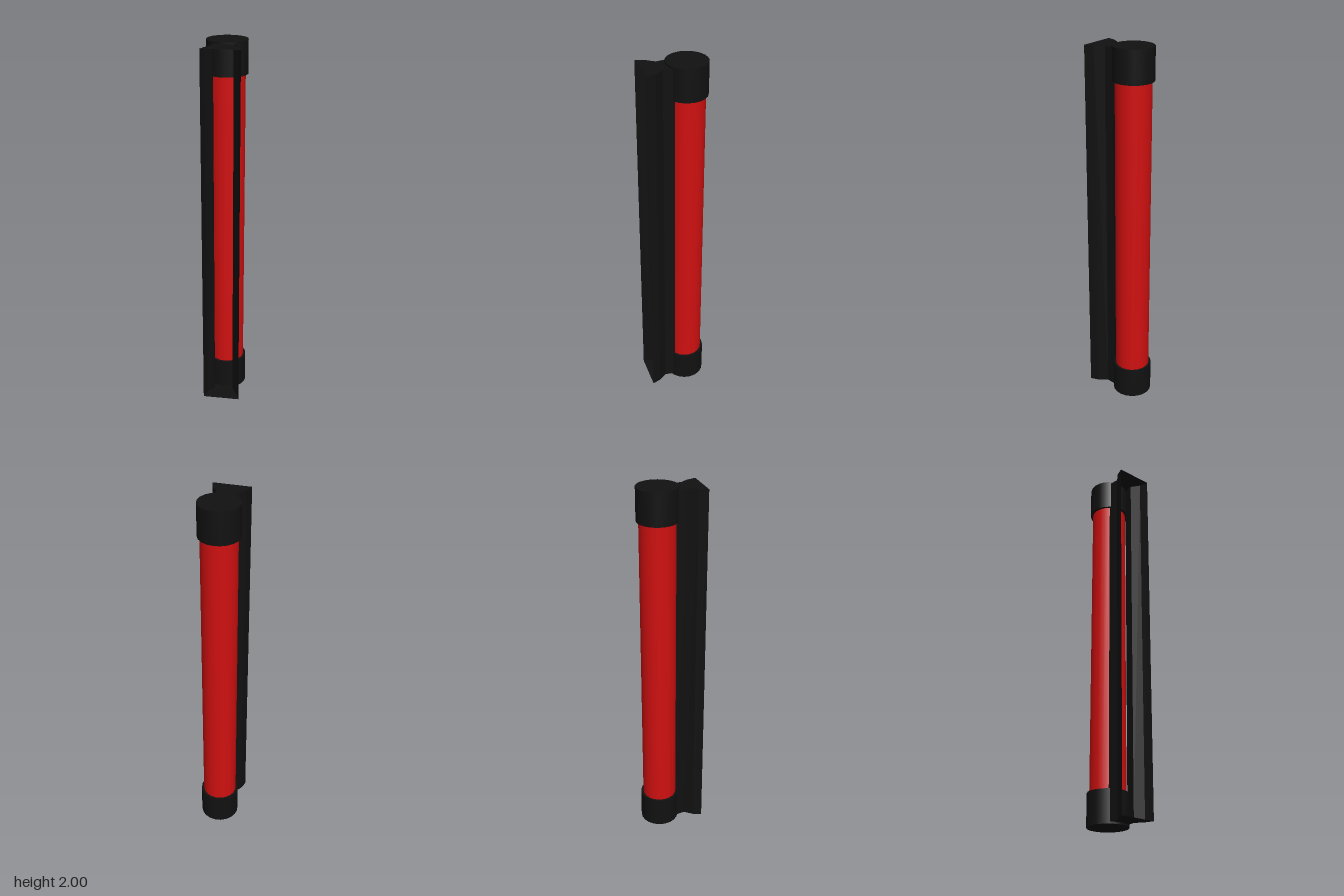
import * as THREE from 'three';

export function createModel() {
  const model = new THREE.Group();
  const black = new THREE.MeshStandardMaterial({ color: 0x111111 });
  const blackThin = new THREE.MeshStandardMaterial({ color: 0x111111, side: THREE.DoubleSide });
  const red = new THREE.MeshStandardMaterial({ color: 0xd01010 });

  const add = (parent, name, geometry, material, x = 0, y = 0, z = 0) => {
    const mesh = new THREE.Mesh(geometry, material);
    mesh.name = name;
    mesh.position.set(x, y, z);
    parent.add(mesh);
    return mesh;
  };

  // Round tube with a wider collar at each end
  const axisZ = -0.062, sides = 20;
  add(model, 'tube', new THREE.CylinderGeometry(0.094, 0.094, 1.7, sides), red, 0, 1, axisZ);
  const capGeometry = new THREE.CylinderGeometry(0.107, 0.107, 0.173, sides);
  add(model, 'bottomCap', capGeometry, black, 0, 0.0865, axisZ);
  add(model, 'topCap', capGeometry, black, 0, 1.9135, axisZ);

  // Flared mounting channel, open towards the front: [x, z] of one wall
  const rail = new THREE.Group();
  rail.name = 'mountingChannel';
  model.add(rail);
  const profile = [[0.06, 0.018], [0.052, 0.075], [0.085, 0.12], [0.1, 0.167]];
  const bottom = 0.01, top = 1.99;
  for (const side of [1, -1]) {
    for (let i = 0; i < profile.length - 1; i++) {
      const [x0, z0] = profile[i], [x1, z1] = profile[i + 1];
      const dx = (x1 - x0) * side, dz = z1 - z0;
      const panel = add(rail, side > 0 ? 'leftWall' : 'rightWall',
        new THREE.PlaneGeometry(Math.hypot(dx, dz), top - bottom), blackThin,
        side * (x0 + x1) / 2, (top + bottom) / 2, (z0 + z1) / 2);
      panel.rotation.y = Math.atan2(-dz, dx);
    }
  }

  // Flat plates closing the channel ends
  const outline = [...profile, ...profile.map(([x, z]) => [-x, z]).reverse()];
  const endGeometry = new THREE.ShapeGeometry(
    new THREE.Shape(outline.map(([x, z]) => new THREE.Vector2(x, z)))).rotateX(Math.PI / 2);
  add(rail, 'bottomPlate', endGeometry, blackThin, 0, bottom, 0);
  add(rail, 'topPlate', endGeometry, blackThin, 0, top, 0);

  return model;
}
